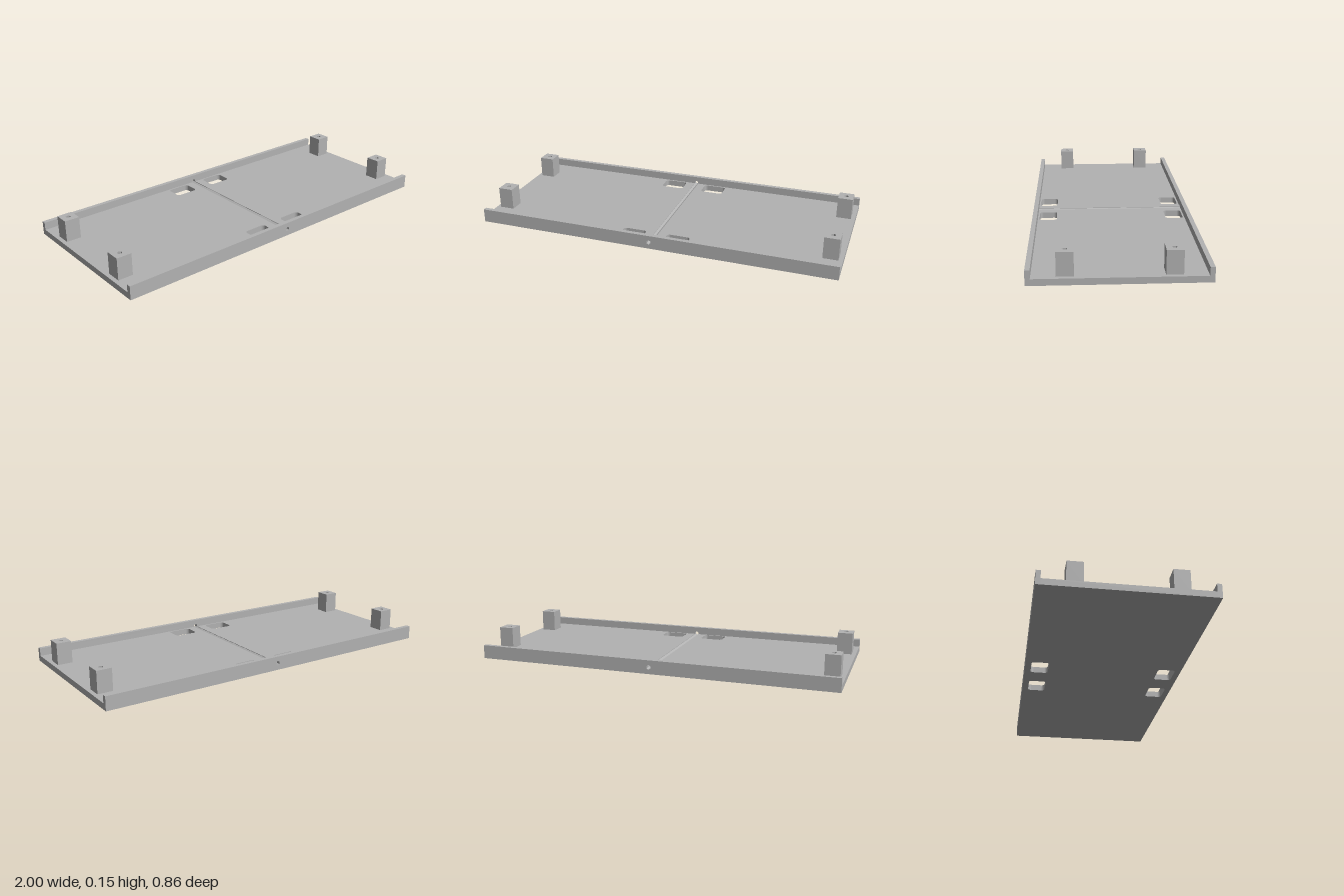
import * as THREE from 'three';

const DEPTH = 0.432, RAIL = 0.024, FLOOR = 0.033, RAIL_TOP = 0.075;
const BORE_Y = 0.037, BORE_R = 0.013, BORE_HALF = BORE_R * Math.sqrt(3) / 2;

const polygon = (points) => new THREE.Shape(points.map(([x, y]) => new THREE.Vector2(x, y)));

const rectangle = (x0, y0, x1, y1) => polygon([[x0, y0], [x1, y0], [x1, y1], [x0, y1]]);

// six-sided bore with a corner pointing up
function hexagon(cx, cy) {
  const points = [];
  for (let i = 0; i < 6; i++) {
    const a = Math.PI / 2 + i * Math.PI / 3;
    points.push(new THREE.Vector2(cx + BORE_R * Math.cos(a), cy + BORE_R * Math.sin(a)));
  }
  return new THREE.Path(points);
}

// rectangle with rounded corners
function roundedSlot(x0, y0, x1, y1, r) {
  const p = new THREE.Path();
  p.moveTo(x0 + r, y0);
  p.absarc(x1 - r, y0 + r, r, -Math.PI / 2, 0);
  p.absarc(x1 - r, y1 - r, r, 0, Math.PI / 2);
  p.absarc(x0 + r, y1 - r, r, Math.PI / 2, Math.PI);
  p.absarc(x0 + r, y0 + r, r, Math.PI, Math.PI * 1.5);
  p.closePath();
  return p;
}

const extrude = (shape, depth) =>
  new THREE.ExtrudeGeometry(shape, { depth, bevelEnabled: false, curveSegments: 5 });

// extrude a plan shape upwards from height y
const extrudeUp = (shape, y, height) =>
  extrude(shape, height).rotateX(-Math.PI / 2).translate(0, y, 0);

export function createModel() {
  const model = new THREE.Group();
  const grey = new THREE.MeshStandardMaterial({ color: 0xb2b2b2 });
  grey.name = 'grey';
  const add = (name, geometry) => {
    const mesh = new THREE.Mesh(geometry, grey);
    mesh.name = name;
    model.add(mesh);
  };
  const inner = DEPTH - RAIL;

  for (const side of [-1, 1]) {
    const label = side > 0 ? 'left' : 'right';

    // half of the floor with two cable windows
    const [x0, x1] = side > 0 ? [BORE_HALF, 1] : [-1, -BORE_HALF];
    const floor = rectangle(x0, -inner, x1, inner);
    const [w0, w1] = side > 0 ? [0.06, 0.191] : [-0.191, -0.06];
    floor.holes.push(roundedSlot(w0, 0.303, w1, 0.399, 0.018));
    floor.holes.push(roundedSlot(w0, -0.399, w1, -0.303, 0.018));
    add(label + 'Floor', extrudeUp(floor, 0, FLOOR));

    // square posts with blind screw holes
    for (const end of [-1, 1]) {
      const cx = side * 0.936, cy = end * 0.251, h = 0.041;
      const post = rectangle(cx - h, cy - h, cx + h, cy + h);
      post.holes.push(hexagon(cx, cy));
      add(label + (end > 0 ? 'Back' : 'Front') + 'Post', extrudeUp(post, FLOOR, 0.119));
    }
  }

  // middle strip of the floor, grooved along the bore
  const groove = polygon([
    [-BORE_HALF, 0], [BORE_HALF, 0], [BORE_HALF, BORE_Y - BORE_R / 2],
    [0, BORE_Y - BORE_R], [-BORE_HALF, BORE_Y - BORE_R / 2],
  ]);
  add('groovedStrip', extrude(groove, inner * 2).translate(0, 0, -inner));

  // front and back rails, bored through the middle
  const rail = rectangle(-1, 0, 1, RAIL_TOP);
  rail.holes.push(hexagon(0, BORE_Y));
  add('frontRail', extrude(rail, RAIL).translate(0, 0, inner));
  add('backRail', extrude(rail, RAIL).translate(0, 0, -DEPTH));

  return model;
}
